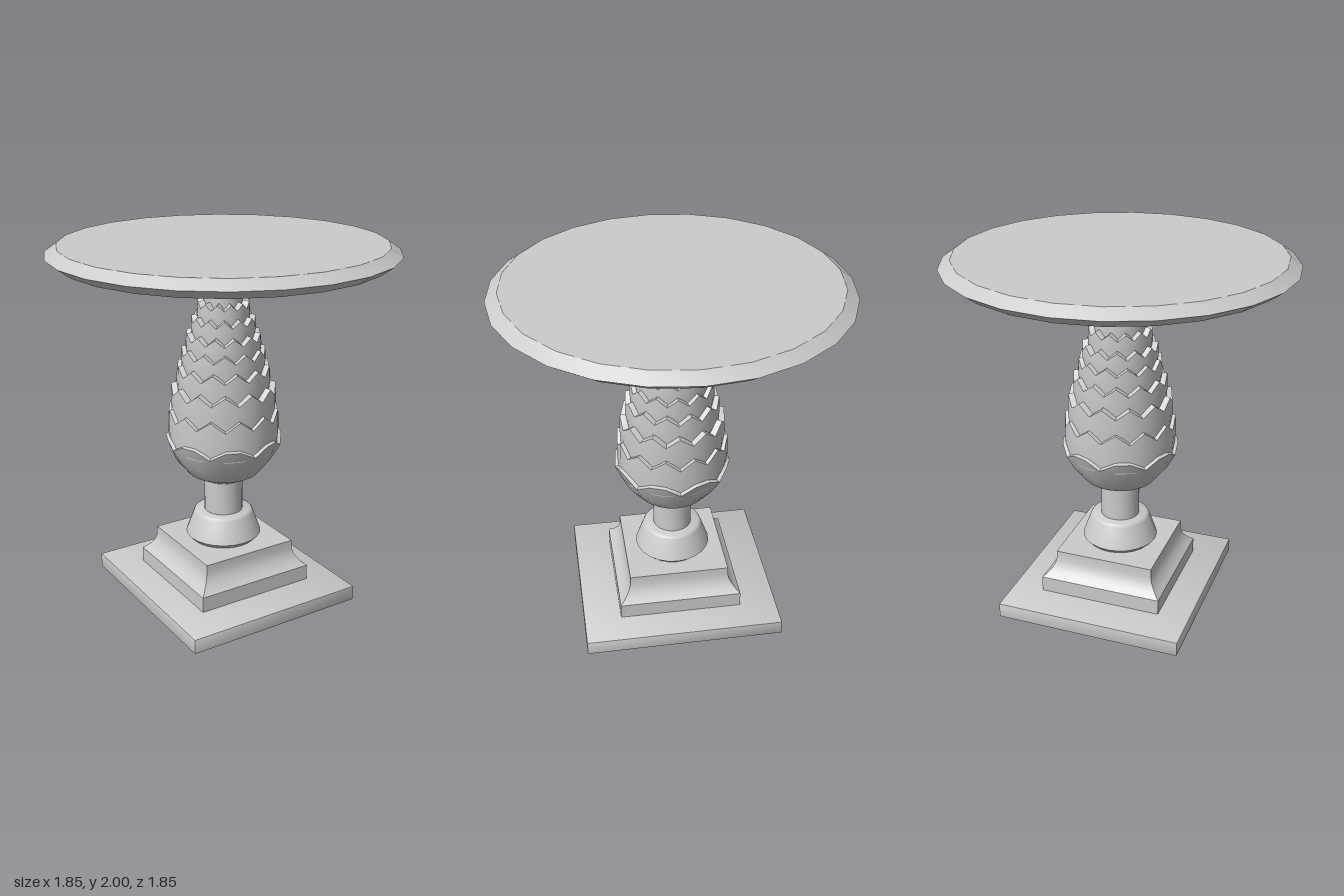
import * as THREE from 'three';
import { toCreasedNormals } from 'three/addons/utils/BufferGeometryUtils.js';
import { RoundedBoxGeometry } from 'three/addons/geometries/RoundedBoxGeometry.js';

const SIDES = 24;

export function createModel() {
  const model = new THREE.Group();
  const grey = new THREE.MeshStandardMaterial({ color: 0xcccccc });
  const thin = new THREE.MeshStandardMaterial({ color: 0xcccccc, side: THREE.DoubleSide });

  function add(name, geometry, material = grey, crease = 0.6) {
    const mesh = new THREE.Mesh(toCreasedNormals(geometry, crease), material);
    mesh.name = name;
    model.add(mesh);
    return mesh;
  }

  // profile: [radius, y] from bottom to top
  const turned = (profile, sides = SIDES) =>
    new THREE.LatheGeometry(profile.map(([r, y]) => new THREE.Vector2(r, y)), sides);

  // Adds a height to points of a lathe, by profile index and side index
  function shiftRings(geometry, ringCount, offset) {
    const p = geometry.attributes.position;
    for (let i = 0; i < p.count; i++) {
      const side = Math.floor(i / ringCount) % SIDES;
      p.setY(i, p.getY(i) + offset(i % ringCount, side));
    }
    return geometry;
  }

  // Square foot
  const slab = add('baseSlab', new RoundedBoxGeometry(1.04, 0.085, 1.11, 1, 0.005));
  slab.position.y = 0.0425;

  // Square plinth with a cove: a four-sided lathe turned by 45 degrees
  const plinthProfile = [[0, 0.085], [0.345, 0.085], [0.345, 0.172], [0.322, 0.192],
    [0.304, 0.214], [0.289, 0.24], [0.281, 0.27], [0.28, 0.32], [0, 0.32]];
  add('plinth', turned(plinthProfile.map(([r, y]) => [r * Math.SQRT2, y]), 4).rotateY(Math.PI / 4));

  // Bell-shaped collar, lower neck and upper neck
  add('collar', turned([[0, 0.32], [0.185, 0.32], [0.212, 0.348], [0.167, 0.472],
    [0.161, 0.482], [0.15, 0.488], [0, 0.488]]));
  add('lowerNeck', turned([[0.108, 0.48], [0.108, 0.7]]), thin);
  add('upperNeck', turned([[0.104, 1.6], [0.104, 1.92]]), thin);

  // Cup with eight scallops: one low point in every three round the rim
  const cup = turned([[0, 0.675], [0.105, 0.675], [0.2, 0.725], [0.272, 0.815],
    [0.32, 0.942], [0.27, 0.962]]);
  add('cup', shiftRings(cup, 6, (ring, side) => (ring >= 4 && side % 3 === 0 ? -0.042 : 0)));

  // Rows of pointed scales, staggered from row to row: [tip radius, tip height]
  const rows = [[0.303, 1.105], [0.284, 1.237], [0.252, 1.347], [0.224, 1.442],
    [0.201, 1.524], [0.17, 1.612], [0.139, 1.692]];
  let startY = 0.88;
  rows.forEach(([r, y], i) => {
    const depth = 0.056 - i * 0.004;
    const midY = startY + (y - startY) * 0.55;
    const scales = turned([[r - 0.005, startY], [r + 0.003, midY], [r, y], [r - 0.045, y + 0.008]]);
    shiftRings(scales, 4, (ring, side) => (ring >= 2 && (side + i) % 2 === 0 ? -depth : 0));
    add('scaleRow' + (i + 1), scales, thin);
    startY = y - depth - 0.03;
  });

  // Round top with a double-bevelled rim
  add('tableTop', turned([[0, 1.908], [0.86, 1.908], [0.924, 1.955], [0.86, 2], [0, 2]]));

  return model;
}
